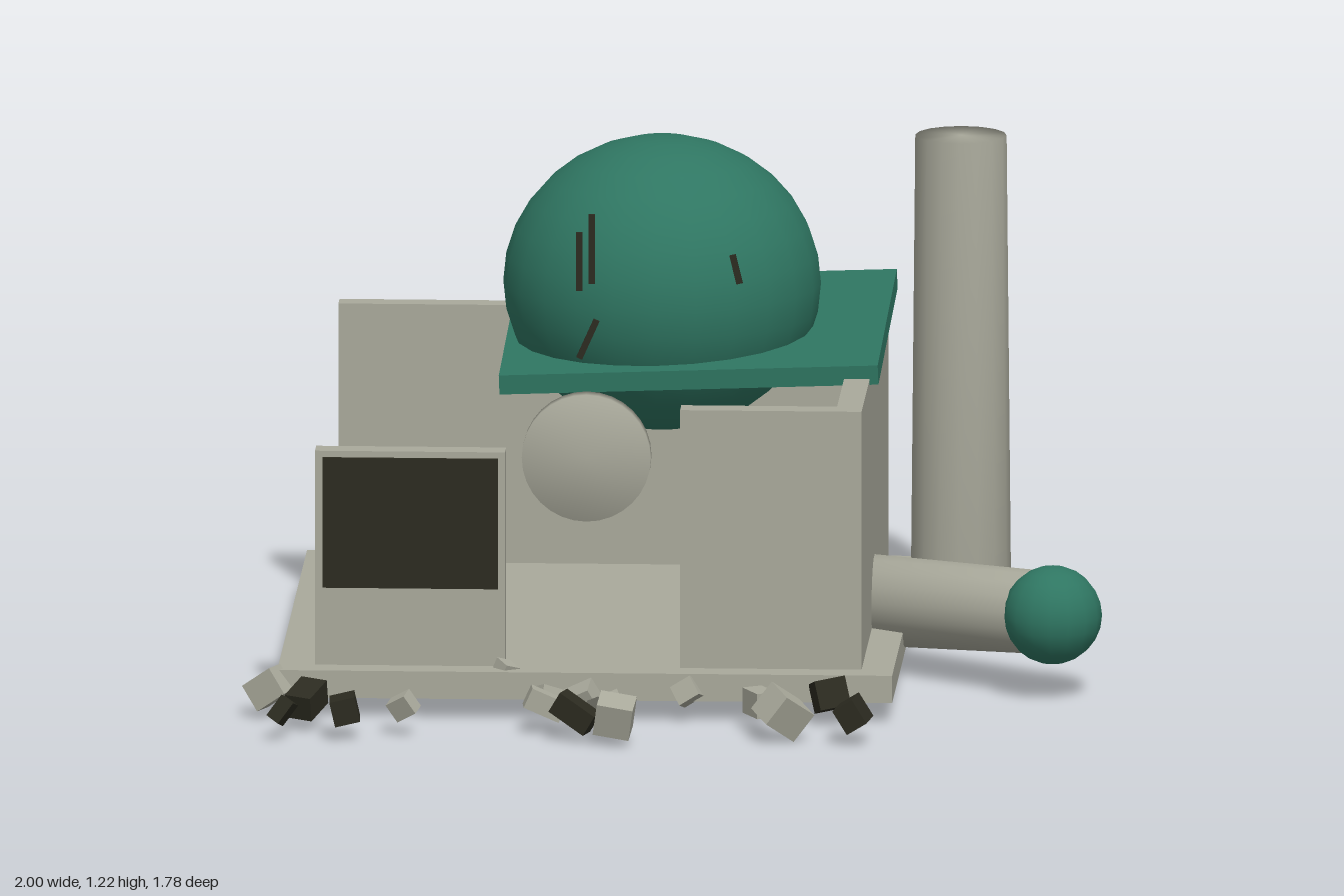
import * as THREE from 'three';
import { mergeVertices } from 'three/addons/utils/BufferGeometryUtils.js';

const material = (name, color) => {
  const m = new THREE.MeshStandardMaterial({ color });
  m.name = name;
  return m;
};

export function createModel() {
  const group = new THREE.Group();
  const stone = material('stone', 0xa9a99b);
  const green = material('green', 0x2f7662);
  const dark = material('dark', 0x2c2b20);

  const add = (name, geometry, mat, x, y, z) => {
    const mesh = new THREE.Mesh(geometry, mat);
    mesh.name = name;
    mesh.position.set(x, y, z);
    group.add(mesh);
    return mesh;
  };
  // Box given by its limits on each axis
  const block = (name, mat, x0, x1, y0, y1, z0, z1) =>
    add(name, new THREE.BoxGeometry(x1 - x0, y1 - y0, z1 - z0), mat,
      (x0 + x1) / 2, (y0 + y1) / 2, (z0 + z1) / 2);
  // Cylinder with soft shading running over its rims
  const softCylinder = (rTop, rBottom, height, sides) => {
    const g = new THREE.CylinderGeometry(rTop, rBottom, height, sides);
    g.deleteAttribute('normal');
    g.deleteAttribute('uv');
    const merged = mergeVertices(g);
    merged.computeVertexNormals();
    return merged;
  };

  // Floor and ruined walls
  block('floorSlab', stone, -0.92, 0.52, 0.055, 0.12, -0.895, 0.54);
  block('backWall', stone, -0.84, 0.445, 0.12, 0.735, -0.82, -0.765);
  block('leftWall', stone, 0.385, 0.445, 0.12, 0.735, -0.765, 0.41);
  block('lowRightWall', stone, -0.845, -0.785, 0.12, 0.37, -0.765, 0.18);
  block('frontLeftWall', stone, 0.02, 0.445, 0.12, 0.735, 0.41, 0.47);
  block('frontRightWall', stone, -0.835, -0.39, 0.12, 0.63, 0.41, 0.47);
  block('darkPanel', dark, -0.817, -0.406, 0.305, 0.615, 0.47, 0.478);

  // Tilted roof plate and dome
  const roof = add('roofPlate', new THREE.BoxGeometry(0.888, 0.046, 0.925), green, 0.021, 0.752, -0.383);
  roof.rotation.set(0.05, 0, 0.037);
  const dome = add('dome', new THREE.SphereGeometry(0.372, 24, 16), green, -0.06, 0.885, -0.315);
  dome.scale.y = 0.93;

  // Cracks in front of the dome: x, y, length, tilt
  for (const [x, y, length, tilt] of [
    [-0.237, 1.0, 0.14, 0], [-0.208, 1.03, 0.165, 0],
    [-0.217, 0.815, 0.1, -0.42], [0.13, 0.985, 0.07, 0.24],
  ]) {
    add('crack', new THREE.BoxGeometry(0.015, length, 0.008), dark, x, y, 0.033).rotation.z = tilt;
  }

  // Round disc above the entrance
  add('disc', softCylinder(0.151, 0.151, 0.044, 32), stone, -0.2, 0.617, 0.443).rotation.x = Math.PI / 2;

  // Standing tower
  add('tower', softCylinder(0.107, 0.117, 1.04, 16), stone, 0.62, 0.64, -0.72);

  // Fallen tower leaning out of the wall, with its round cap
  const start = new THREE.Vector3(0.4, 0.16, -0.18);
  const end = new THREE.Vector3(0.85, 0.203, 0.178);
  const axis = end.clone().sub(start);
  const middle = start.clone().lerp(end, 0.5);
  const fallen = add('fallenTower', softCylinder(0.098, 0.108, axis.length(), 16), stone, middle.x, middle.y, middle.z);
  fallen.quaternion.setFromUnitVectors(new THREE.Vector3(0, 1, 0), axis.normalize());
  add('fallenCap', new THREE.SphereGeometry(0.116, 16, 12), green, 0.88, 0.205, 0.217);

  // Rubble: x, z, width, height, depth, turn, is dark
  [
    [-0.94, 0.54, 0.085, 0.07, 0.06, -0.4, 0], [-0.845, 0.67, 0.065, 0.06, 0.095, -0.4, 1],
    [-0.895, 0.81, 0.035, 0.06, 0.05, -0.2, 1], [-0.75, 0.785, 0.06, 0.06, 0.085, 0.05, 1],
    [-0.615, 0.74, 0.055, 0.05, 0.04, -0.3, 0], [-0.285, 0.64, 0.055, 0.05, 0.05, 0.7, 0],
    [-0.285, 0.7, 0.09, 0.05, 0.05, 0.1, 0], [-0.205, 0.665, 0.085, 0.06, 0.065, -0.1, 0],
    [-0.14, 0.73, 0.05, 0.06, 0.09, 0.4, 0], [-0.21, 0.8, 0.1, 0.055, 0.05, -0.3, 1],
    [-0.115, 0.835, 0.085, 0.08, 0.075, -0.1, 0], [0.04, 0.54, 0.055, 0.05, 0.04, -0.3, 0],
    [0.215, 0.66, 0.05, 0.06, 0.08, 0.5, 0], [0.275, 0.77, 0.095, 0.08, 0.085, 0.5, 0],
    [0.375, 0.56, 0.075, 0.07, 0.06, 0.3, 1], [0.44, 0.785, 0.055, 0.065, 0.085, -0.15, 1],
    [-0.39, 0.49, 0.04, 0.05, 0.045, 0.6, 0],
  ].forEach(([x, z, w, h, d, turn, isDark], i) => {
    const piece = add('rubble', new THREE.BoxGeometry(w, h, d), isDark ? dark : stone, x, z < 0.5 ? 0.11 : 0.078, z);
    piece.rotation.set(0.35 * Math.sin(i * 2.1), turn, 0.6 * Math.cos(i * 1.7), 'YXZ');
  });

  return group;
}
